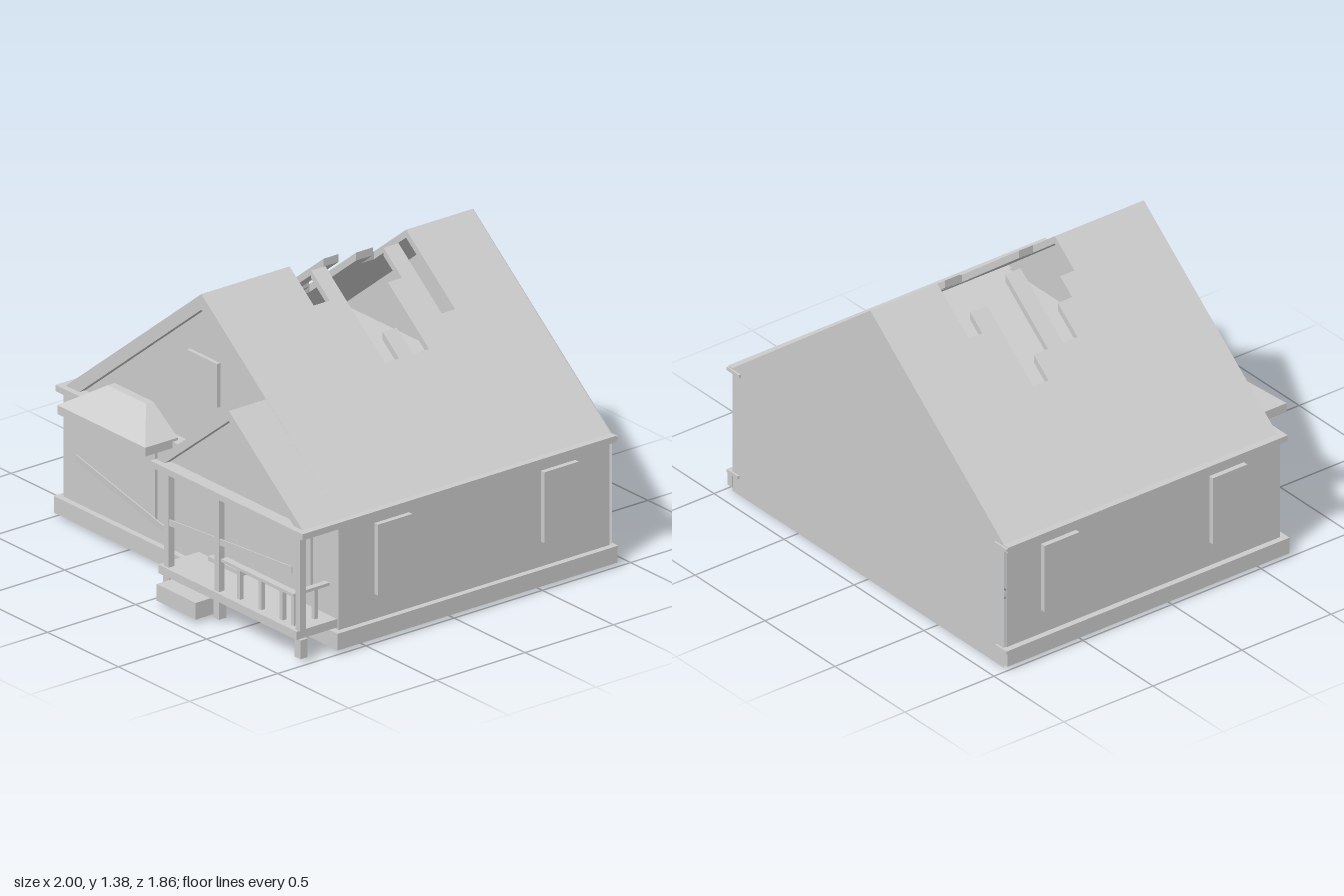
import * as THREE from 'three';

const mat = new THREE.MeshStandardMaterial({ color: 0xcccccc, flatShading: true, side: THREE.DoubleSide });

export function createModel() {
  const house = new THREE.Group();
  house.name = 'house';

  const add = (name, geo) => {
    const m = new THREE.Mesh(geo, mat);
    m.name = name;
    house.add(m);
    return m;
  };
  // Box from its limits on each axis
  const box = (name, x0, x1, y0, y1, z0, z1) =>
    add(name, new THREE.BoxGeometry(x1 - x0, y1 - y0, z1 - z0)
      .translate((x0 + x1) / 2, (y0 + y1) / 2, (z0 + z1) / 2));
  // Outline in x and y, extruded from z0 to z1
  const prism = (name, pts, z0, z1) => {
    const shape = new THREE.Shape(pts.map(p => new THREE.Vector2(...p)));
    return add(name, new THREE.ExtrudeGeometry(shape, { depth: z1 - z0, bevelEnabled: false }).translate(0, 0, z0));
  };
  // Thin board between two points
  const plank = (name, a, b) => {
    const A = new THREE.Vector3(...a), B = new THREE.Vector3(...b);
    const m = add(name, new THREE.BoxGeometry(0.006, 0.03, A.distanceTo(B)));
    m.position.copy(A).add(B).multiplyScalar(0.5);
    m.lookAt(B);
  };

  // Thin walls, open underneath
  box('frontWall', -0.97, 0.97, 0.02, 0.61, 0.626, 0.63);
  for (const s of [-1, 1]) {
    const side = (name, a, b, ...rest) => box(name, Math.min(s * a, s * b), Math.max(s * a, s * b), ...rest);
    side('sideWall', 0.966, 0.97, 0.02, 0.61, -0.905, 0.63);
    side('sideSkirt', 0.966, 1, 0.02, 0.1, -0.925, 0.66);
    side('sideEave', 0.93, 1, 0.6, 0.63, -0.92, 0.65);
    side('eaveReturn', 0.91, 1, 0.61, 0.625, -0.93, -0.915);
    side('skirtReturn', 0.92, 1, 0.085, 0.1, -0.93, -0.915);
    for (const z of [0.233, -0.711]) side('sideWindow', 0.955, 0.995, 0.22, 0.56, z, z + 0.195);
  }
  box('frontSkirt', -1, 1, 0.02, 0.1, 0.626, 0.66);
  box('frontEave', -1, 0, 0.6, 0.63, 0.58, 0.65);
  box('ceiling', -0.95, 0.95, 0.622, 0.628, -0.915, 0.62);
  const back = [[-0.97, 0], [0.97, 0], [0.97, 0.63], [-0.01, 1.385], [-0.97, 0.63]];
  add('backWall', new THREE.ShapeGeometry(new THREE.Shape(back.map(p => new THREE.Vector2(...p))))
    .rotateY(Math.PI).scale(-1, 1, 1).translate(0, 0, -0.92));
  prism('frontGable', [[-0.9, 0.62], [0.9, 0.62], [-0.01, 1.32]], 0.57, 0.585);

  // Main roof in strips: z from, z to, inner end of the strip on x
  const ridge = -0.01, peak = 1.385, eaveY = 0.63;
  const slope = (name, x, eave, top, thick, topX, z0, z1) => {
    const k = (top - eaveY) / Math.abs(eave - topX);
    const y = top - k * Math.abs(x - topX);
    const inner = eave - Math.sign(eave - topX) * thick / k;
    prism(name, [[x, y], [eave, eaveY], [inner, eaveY], [x, y - thick]], z0, z1);
  };
  const leftStrips = [
    [-0.917, -0.54, ridge], [-0.54, -0.465, -0.235], [-0.465, -0.37, -0.15], [-0.37, -0.285, -0.48],
    [-0.285, -0.205, -0.375], [-0.205, -0.12, -0.07], [-0.12, -0.04, -0.375], [-0.04, 0.04, -0.235],
    [0.04, 0.12, -0.15], [0.12, 0.585, ridge]];
  const rightStrips = [
    [-0.917, -0.54, ridge], [-0.54, -0.465, 0.335], [-0.465, -0.38, 0.03], [-0.38, -0.3, 0.16],
    [-0.3, -0.21, 0.45], [-0.21, -0.13, 0.335], [-0.13, -0.05, 0.45], [-0.05, 0.03, 0.03],
    [0.03, 0.12, 0.16], [0.12, 0.585, ridge]];
  for (const [z0, z1, x] of leftStrips) slope('roofLeft', x, -0.965, peak, 0.038, ridge, z0, z1);
  for (const [z0, z1, x] of rightStrips) slope('roofRight', x, 0.965, peak, 0.038, ridge, z0, z1);
  // Deeper boards along the front edge of the main roof
  for (const eave of [-0.965, 0.965]) slope('bargeBoard', ridge, eave, peak, 0.075, ridge, 0.585, 0.62);

  // Porch roof and its gable
  slope('porchRoofRight', 0.445, 0.965, 1.031, 0.048, 0.445, 0.62, 0.83);
  slope('porchRoofLeft', 0.445, -0.07, 1.031, 0.048, 0.445, 0.58, 0.83);
  prism('porchGable', [[-0.02, 0.62], [0.92, 0.62], [0.445, 0.99]], 0.78, 0.795);
  box('porchEave', -0.07, 1, 0.6, 0.63, 0.62, 0.86);

  // Windows, door sill
  box('atticWindow', -0.13, 0.08, 0.865, 1.075, 0.56, 0.605);
  box('frontWindowLeft', -0.66, -0.305, 0.185, 0.545, 0.605, 0.645);
  box('frontWindowRight', 0.515, 0.79, 0.225, 0.56, 0.605, 0.645);
  box('doorSill', 0.085, 0.32, 0.15, 0.17, 0.62, 0.66);

  // Hipped canopy over the left window
  box('canopyBase', -0.795, -0.175, 0.6, 0.642, 0.62, 0.805);
  const hip = new THREE.BoxGeometry(1, 1, 1);
  const p = hip.attributes.position;
  for (let i = 0; i < p.count; i++) {
    const top = p.getY(i) > 0, right = p.getX(i) > 0, front = p.getZ(i) > 0;
    p.setXYZ(i,
      top ? (right ? -0.35 : -0.62) : (right ? -0.175 : -0.795),
      top ? 0.757 : 0.642,
      front ? (top ? 0.66 : 0.805) : 0.62);
  }
  hip.computeVertexNormals();
  add('canopyRoof', hip);

  // Porch deck, step and posts
  box('deck', -0.015, 0.96, 0.11, 0.15, 0.61, 0.86);
  box('step', 0.06, 0.335, 0.02, 0.1, 0.81, 0.93);
  for (const x of [0.01, 0.365, 0.938]) {
    box('post', x, x + 0.032, 0.15, 0.6, 0.815, 0.848);
    box('deckFoot', x - 0.005, x + 0.037, 0.02, 0.11, 0.81, 0.85);
  }

  // Railing
  box('frontRail', 0.395, 0.905, 0.292, 0.306, 0.8, 0.835);
  box('sideRail', 0.875, 0.905, 0.292, 0.306, 0.63, 0.82);
  for (const x of [0.5, 0.65, 0.8, 0.88]) box('baluster', x, x + 0.022, 0.15, 0.295, 0.808, 0.828);
  box('sideBaluster', 0.88, 0.9, 0.15, 0.295, 0.69, 0.712);

  // Loose leaning boards
  plank('looseBoardLeft', [-0.86, 0.325, 0.645], [0.01, 0.288, 0.808]);
  plank('looseBoardPorch', [0.04, 0.365, 0.842], [0.905, 0.425, 0.842]);

  return house;
}
